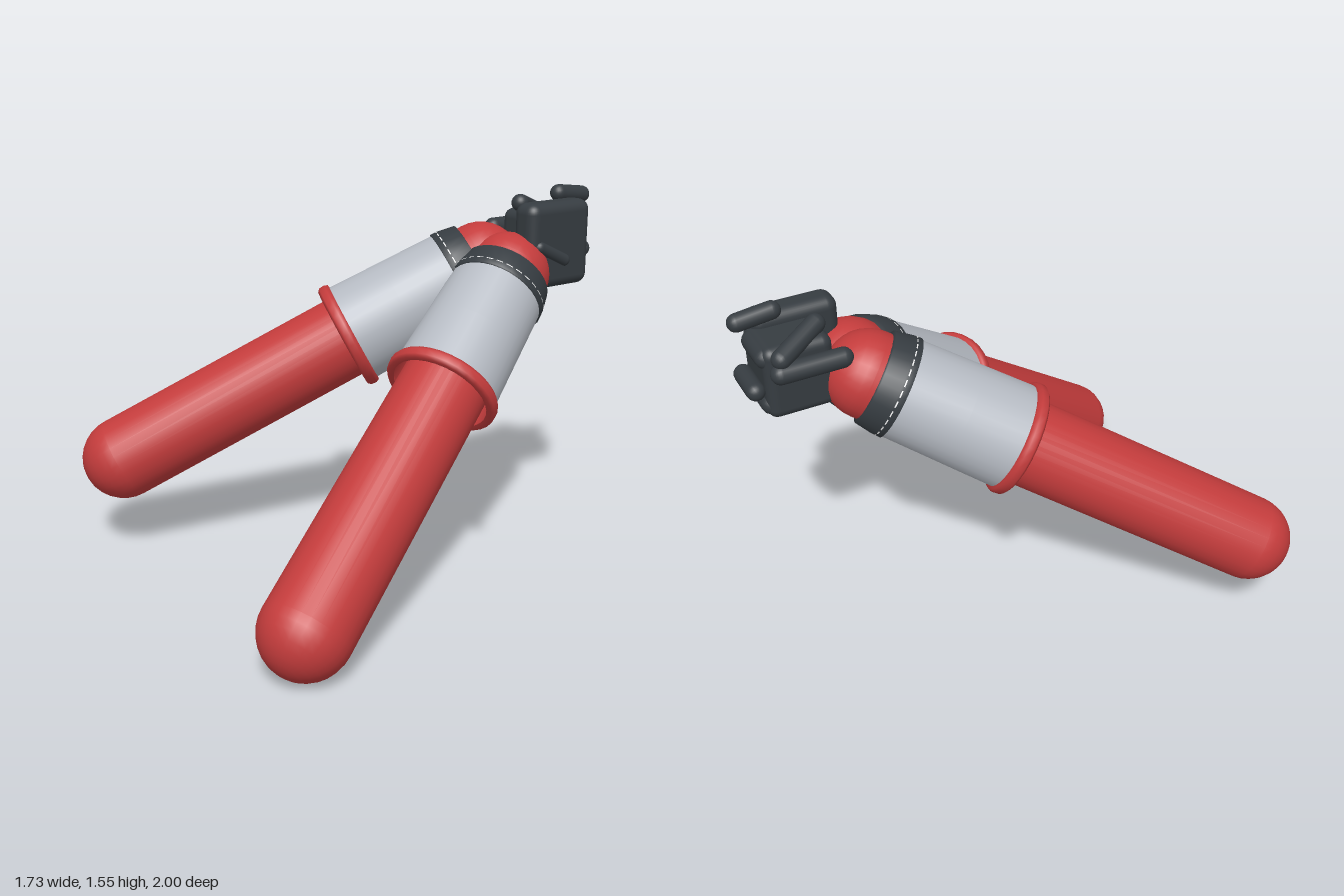
import * as THREE from 'three';
import { RoundedBoxGeometry } from 'three/addons/geometries/RoundedBoxGeometry.js';

const material = (name, color, side = THREE.FrontSide) => {
  const m = new THREE.MeshStandardMaterial({ color, side });
  m.name = name;
  return m;
};
const V = (p) => new THREE.Vector3(...p);
const UP = new THREE.Vector3(0, 1, 0);

export function createModel() {
  const red = material('red', 0xc43c3c, THREE.DoubleSide);
  const grey = material('sleeve grey', 0xb6bbc3, THREE.DoubleSide);
  const dark = material('glove dark', 0x363c41, THREE.DoubleSide);
  const white = material('stitch white', 0xf0f0f0);
  const model = new THREE.Group();

  const add = (parent, name, geometry, mat) => {
    const mesh = new THREE.Mesh(geometry, mat);
    mesh.name = name;
    parent.add(mesh);
    return mesh;
  };
  const lathe = (points) =>
    new THREE.LatheGeometry(points.map(([r, y]) => new THREE.Vector2(r, y)), 32);

  // Capsule between two sphere centres
  const capsule = (parent, name, a, b, r, mat, sides = 16) => {
    const from = V(a), to = V(b), d = to.clone().sub(from);
    const mesh = add(parent, name, new THREE.CapsuleGeometry(r, d.length(), 8, sides), mat);
    mesh.position.copy(from).add(to).multiplyScalar(0.5);
    mesh.quaternion.setFromUnitVectors(UP, d.normalize());
  };

  // Arm from its rounded end through the cuff centre, local y along the arm, y = 0 at the cuff
  const arm = (name, end, cuff) => {
    const group = new THREE.Group();
    group.name = name;
    const d = V(cuff).sub(V(end)), len = d.length();
    group.position.copy(V(cuff));
    group.quaternion.setFromUnitVectors(UP, d.normalize());
    model.add(group);

    capsule(group, 'forearm', [0, -len, 0], [0, 0.64, 0], 0.176, red, 28);
    add(group, 'sleeve', lathe([[0.216, 0.01], [0.208, 0.26], [0.2, 0.52]]), grey);
    add(group, 'sleeveLining', lathe([[0.205, -0.01], [0.2, 0.14], [0.17, 0.14]]), red);
    add(group, 'cuffRim', lathe([
      [0.2, -0.022], [0.222, -0.026], [0.233, -0.015], [0.235, 0.01], [0.228, 0.024], [0.21, 0.026],
    ]), red);
    add(group, 'wristBand', lathe([
      [0.198, 0.505], [0.207, 0.508], [0.205, 0.54], [0.192, 0.615], [0.172, 0.62],
    ]), dark);
    // Dashed stitching around the band
    const stitch = new THREE.Group();
    stitch.name = 'stitching';
    group.add(stitch);
    const dashes = 30, step = (Math.PI * 2) / dashes;
    for (let i = 0; i < dashes; i++) {
      const dash = new THREE.CylinderGeometry(0.2065, 0.2075, 0.005, 2, 1, true, i * step, step * 0.65);
      add(stitch, 'stitch', dash, white).position.y = 0.532;
    }
  };
  arm('rightArm', [-0.69, 0.42, 0.82], [-0.22, 0.93, -0.03]);
  arm('leftArm', [0.69, 0.18, 0.8], [0.385, 0.83, -0.05]);

  // Clasped hands
  const hands = new THREE.Group();
  hands.name = 'claspedHands';
  model.add(hands);
  const slab = (name, lo, hi, r) => {
    const size = V(hi).sub(V(lo));
    add(hands, name, new RoundedBoxGeometry(size.x, size.y, size.z, 4, r), dark)
      .position.copy(V(lo)).add(V(hi)).multiplyScalar(0.5);
  };
  slab('leftPalm', [0.2, 1.14, -0.91], [0.325, 1.5, -0.565], 0.045);
  slab('rightPalm', [0.03, 1.15, -0.93], [0.29, 1.45, -0.66], 0.04);

  // Fingers wrapped across the back
  for (const [y, z, r] of [[1.4, -0.908, 0.042], [1.27, -0.96, 0.037], [1.2, -0.905, 0.042]])
    capsule(hands, 'backFinger', [0.085, y, z], [0.22, y, z], r, dark);
  // Fingers on the top and the right side
  capsule(hands, 'topFinger', [0.2, 1.518, -0.83], [0.2, 1.502, -0.965], 0.036, dark);
  capsule(hands, 'crossedFinger', [0.015, 1.42, -0.87], [0.105, 1.475, -0.7], 0.038, dark);
  capsule(hands, 'sideFinger', [0.005, 1.365, -0.88], [0.005, 1.365, -0.64], 0.04, dark);
  // Thumb resting on the left palm
  capsule(hands, 'thumb', [0.312, 1.32, -0.62], [0.312, 1.255, -0.76], 0.028, dark);

  return model;
}
